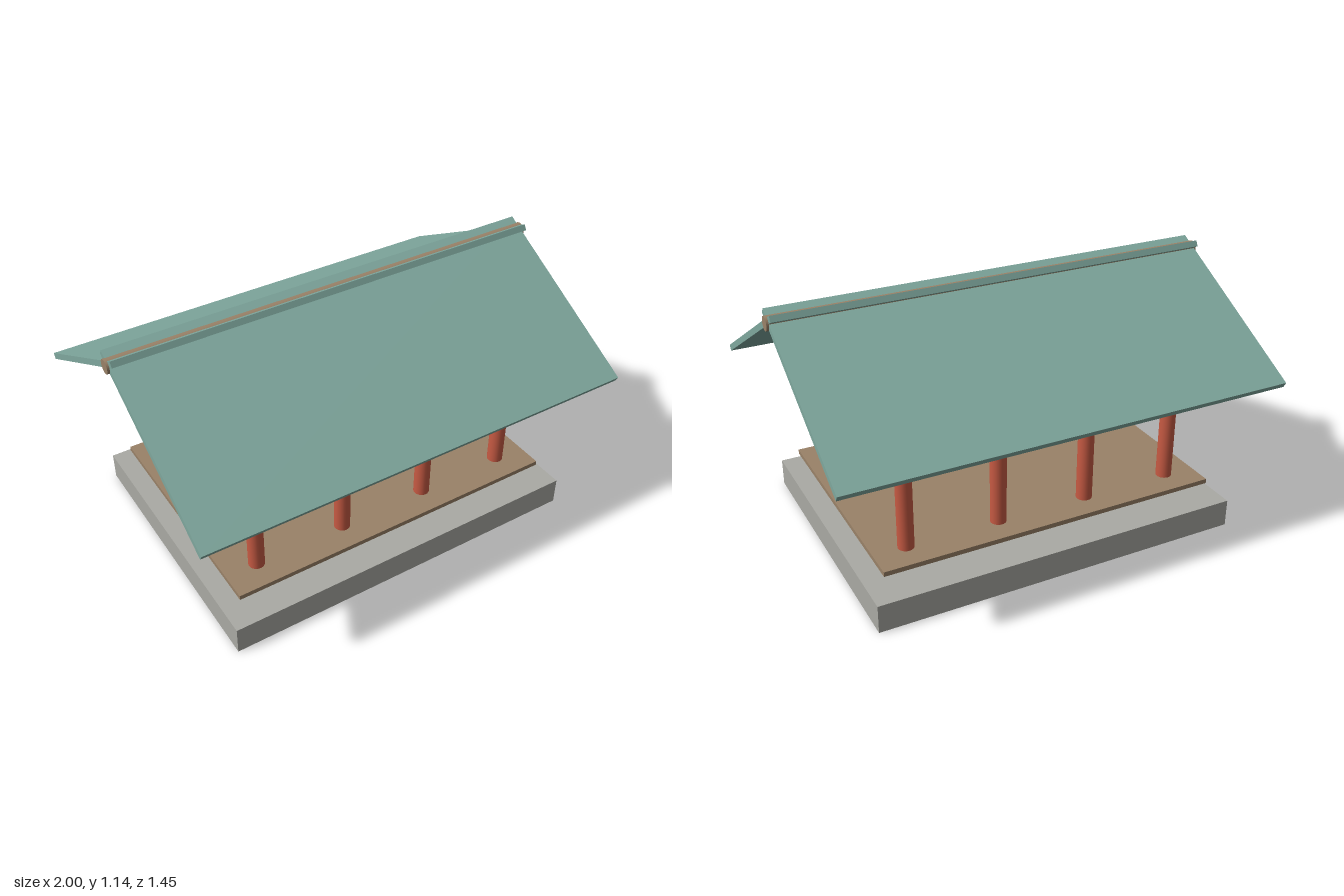
import * as THREE from 'three';

const mat = (color) => new THREE.MeshStandardMaterial({ color });

export function createModel() {
  const model = new THREE.Group();
  const stone = mat(0xaaaaa4), wood = mat(0x9a8268), red = mat(0xc75a43), tile = mat(0x7fa89e);

  const add = (name, geometry, material, x, y, z) => {
    const mesh = new THREE.Mesh(geometry, material);
    mesh.name = name;
    mesh.position.set(x, y, z);
    model.add(mesh);
    return mesh;
  };

  // Stone base and raised wooden floor
  add('base', new THREE.BoxGeometry(1.666, 0.125, 1.25), stone, 0, 0.0625, 0);
  add('floor', new THREE.BoxGeometry(1.54, 0.021, 1.083), wood, 0, 0.2, 0);

  // Two rows of four columns
  const column = new THREE.CylinderGeometry(0.035, 0.035, 0.627, 24);
  for (const z of [-0.417, 0.417]) {
    for (let i = 0; i < 4; i++) add('column', column, red, -0.625 + i * 0.4167, 0.4385, z);
  }

  // Tie beam through the front row only
  add('frontBeam', new THREE.BoxGeometry(1.458, 0.041, 0.041), red, 0, 0.669, 0.417);

  // Sloping roof panels that cross at the ridge
  const panel = new THREE.BoxGeometry(1.98, 0.027, 0.878);
  for (const side of [1, -1]) {
    add(side > 0 ? 'frontRoof' : 'backRoof', panel, tile, 0, 0.918, side * 0.335).rotation.x = side * 0.502;
  }

  // Ridge pole
  add('ridgePole', new THREE.CylinderGeometry(0.031, 0.031, 2, 24), wood, 0, 1.095, 0).rotation.z = Math.PI / 2;

  return model;
}
